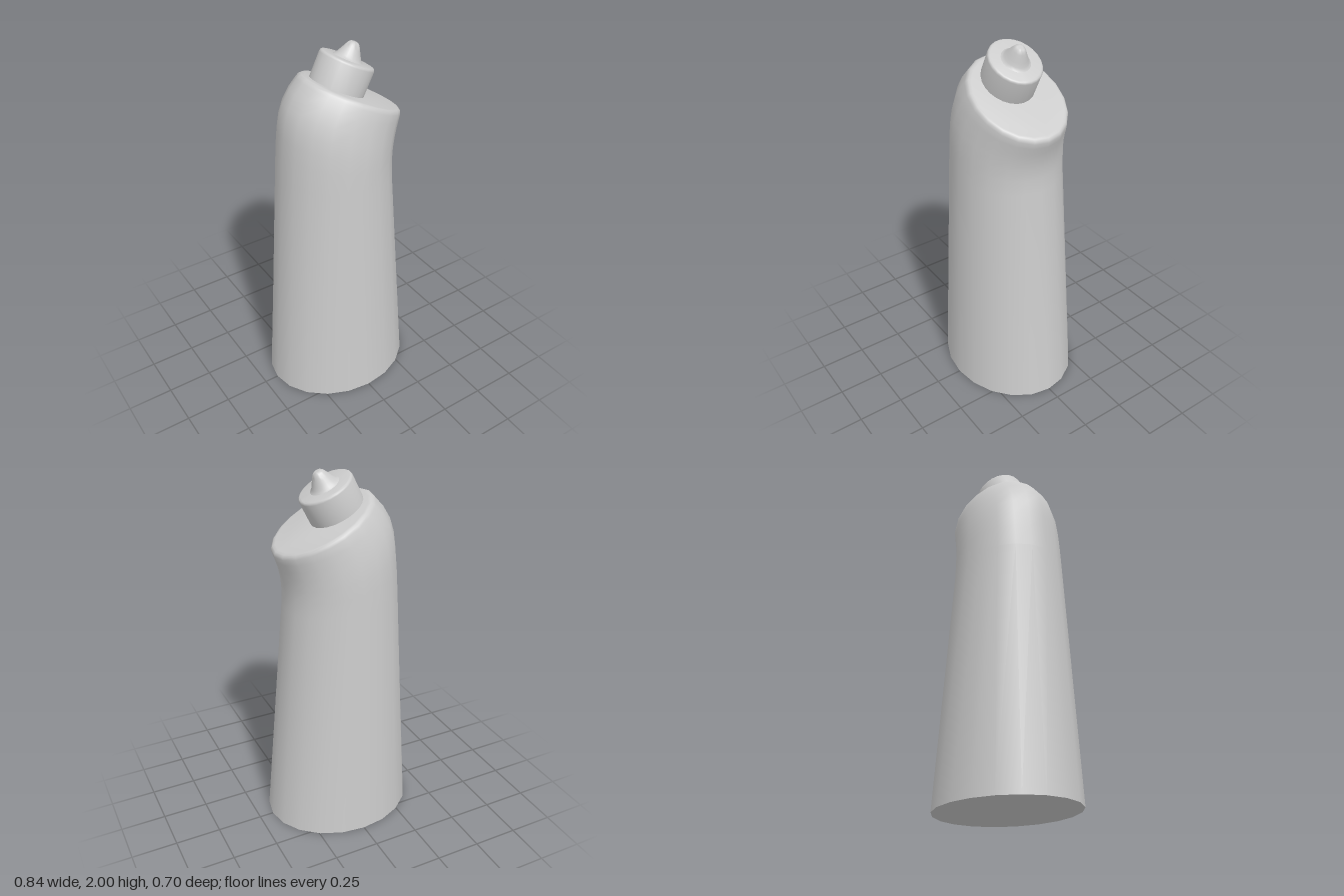
import * as THREE from 'three';
import { toCreasedNormals } from 'three/addons/utils/BufferGeometryUtils.js';

const SIDES = 20;
const TILT = 0.465; // lean of the shoulder plane towards +x

const material = new THREE.MeshStandardMaterial({ color: 0xcccccc });

// Lofts tilted elliptical rings: [leftX, leftY, rightX, rightY, halfDepth]
function loft(rings) {
  const pos = [], index = [];
  for (const [lx, ly, rx, ry, d] of rings) {
    for (let j = 0; j < SIDES; j++) {
      const a = (j / SIDES) * Math.PI * 2, c = Math.cos(a);
      pos.push((lx + rx) / 2 + c * (rx - lx) / 2, (ly + ry) / 2 + c * (ry - ly) / 2, d * Math.sin(a));
    }
  }
  const last = rings.length - 1;
  for (let i = 0; i < last; i++) {
    for (let j = 0; j < SIDES; j++) {
      const k = (j + 1) % SIDES;
      const a = i * SIDES + j, b = i * SIDES + k;
      index.push(a, a + SIDES, b, b, a + SIDES, b + SIDES);
    }
  }
  // flat ends
  for (let j = 1; j < SIDES - 1; j++) {
    index.push(0, j, j + 1);
    const t = last * SIDES;
    index.push(t, t + j + 1, t + j);
  }
  const geo = new THREE.BufferGeometry();
  geo.setAttribute('position', new THREE.Float32BufferAttribute(pos, 3));
  geo.setIndex(index);
  return toCreasedNormals(geo, 0.75);
}

// Round part from [radius, height] points
function turned(name, points, segments) {
  const geo = new THREE.LatheGeometry(points.map(([r, y]) => new THREE.Vector2(r, y)), segments);
  const mesh = new THREE.Mesh(toCreasedNormals(geo, 0.75), material);
  mesh.name = name;
  return mesh;
}

export function createModel() {
  const model = new THREE.Group();
  model.name = 'squeezeBottle';

  // Tapered oval body that bends into a slanted shoulder with a rounded rim
  const body = new THREE.Mesh(loft([
    [-0.42, 0, 0.42, 0, 0.35],
    [-0.328, 1.36, 0.297, 1.29, 0.291],
    [-0.318, 1.49, 0.294, 1.37, 0.288],
    [-0.309, 1.58, 0.298, 1.43, 0.284],
    [-0.298, 1.66, 0.309, 1.485, 0.277],
    [-0.275, 1.735, 0.323, 1.53, 0.267],
    [-0.235, 1.802, 0.336, 1.565, 0.257],
    [-0.192, 1.85, 0.345, 1.592, 0.247],
    [-0.180, 1.861, 0.345, 1.606, 0.242],
    [-0.165, 1.866, 0.338, 1.617, 0.234],
    [-0.148, 1.862, 0.325, 1.624, 0.224],
  ]), material);
  body.name = 'body';
  model.add(body);

  // Closure leaning with the shoulder, slightly oval like the body
  const top = new THREE.Group();
  top.name = 'closure';
  top.position.set(0, 1.78, 0);
  top.rotation.z = -TILT;

  const cap = turned('cap', [
    [0, -0.02], [0.149, -0.02], [0.149, 0.139], [0.147, 0.146],
    [0.142, 0.151], [0.135, 0.153], [0, 0.153],
  ], 24);
  cap.scale.z = 0.91;

  // Flared nozzle with a rounded tip
  const nozzle = turned('nozzle', [
    [0.082, 0], [0.074, 0.005], [0.066, 0.015], [0.056, 0.032], [0.045, 0.052],
    [0.036, 0.068], [0.029, 0.079], [0.020, 0.086], [0.010, 0.089], [0, 0.09],
  ], 24);
  nozzle.position.y = 0.152;
  nozzle.scale.z = 0.91;

  top.add(cap, nozzle);
  model.add(top);
  return model;
}
